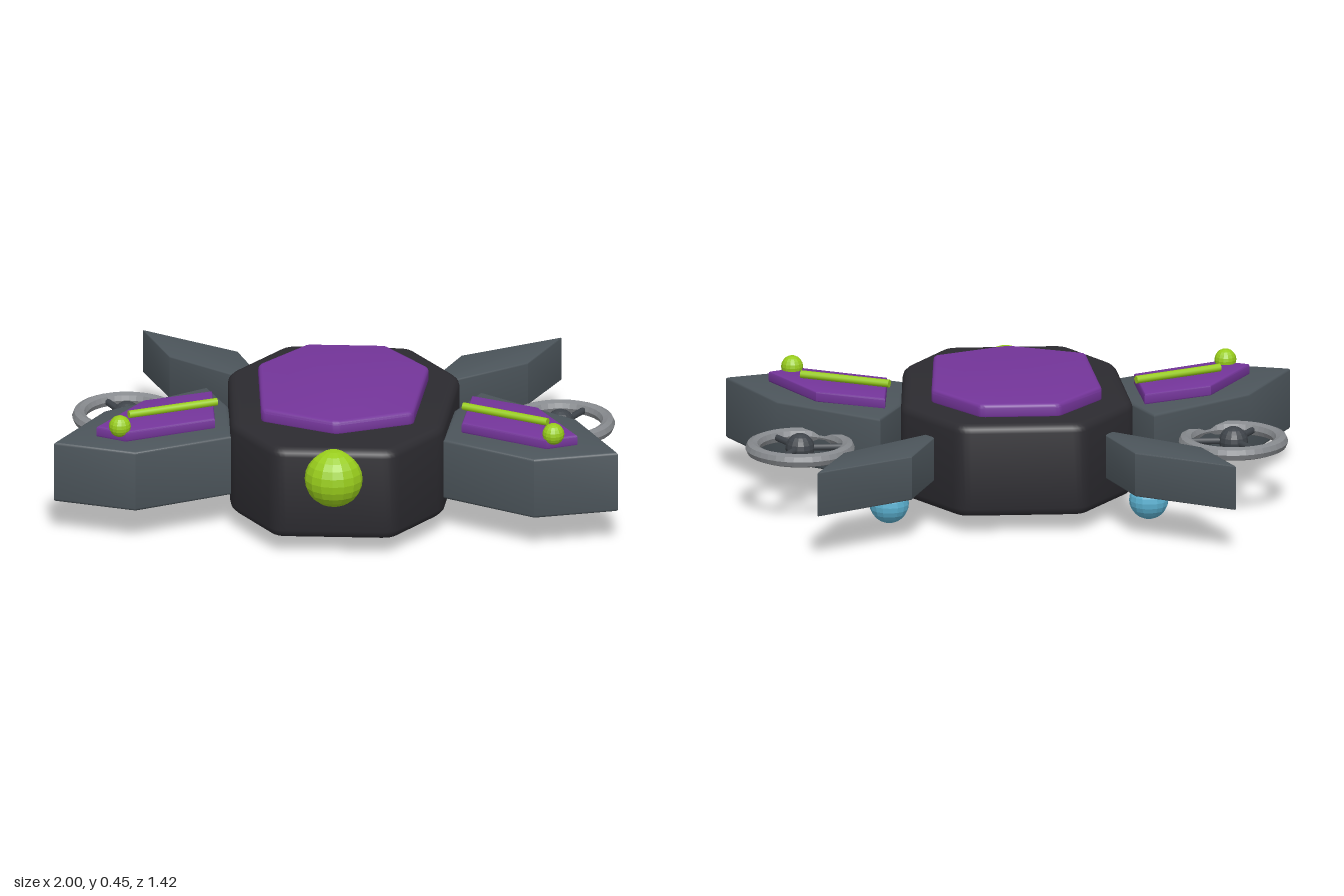
import * as THREE from 'three';
import { toCreasedNormals } from 'three/addons/utils/BufferGeometryUtils.js';

const mat = (name, color) => {
  const m = new THREE.MeshStandardMaterial({ color });
  m.name = name;
  return m;
};

// Facet a geometry so every face is flat
function faceted(geo) {
  const g = geo.toNonIndexed();
  g.computeVertexNormals();
  return g;
}

// Bevelled slab from a plan outline of [x, z] points between two heights; round softens the plan corners
function slab(points, y0, y1, bevel, round = 0) {
  const pts = points.map(([x, z]) => new THREE.Vector2(x, -z));
  const shape = new THREE.Shape();
  pts.forEach((p, i) => {
    const prev = pts[(i + pts.length - 1) % pts.length];
    const next = pts[(i + 1) % pts.length];
    const a = p.clone().add(prev.clone().sub(p).setLength(round));
    const b = p.clone().add(next.clone().sub(p).setLength(round));
    if (i === 0) shape.moveTo(a.x, a.y);
    else shape.lineTo(a.x, a.y);
    if (round > 0) shape.quadraticCurveTo(p.x, p.y, b.x, b.y);
  });
  shape.closePath();
  const geo = new THREE.ExtrudeGeometry(shape, {
    depth: y1 - y0 - 2 * bevel, bevelEnabled: true, bevelThickness: bevel,
    bevelSize: bevel, bevelOffset: -bevel, bevelSegments: 3, curveSegments: 4,
  });
  geo.rotateX(-Math.PI / 2);
  geo.translate(0, y0 + bevel, 0);
  return toCreasedNormals(geo, 0.6);
}

// Outline symmetric about x = 0, from its +x half
const mirrored = (half) => [
  ...half,
  ...half.filter(([x]) => x !== 0).reverse().map(([x, z]) => [-x, z]),
];

export function createModel() {
  const bodyMat = mat('charcoal body', 0x2c2b30);
  const wingMat = mat('slate wing', 0x4c555b);
  const purple = mat('purple panel', 0x74359a);
  const green = mat('lime light', 0x98cc1c);
  const blue = mat('blue pod', 0x5cb2d2);
  const ringMat = mat('ring grey', 0x86898d);
  const hubMat = mat('hub grey', 0x3f444a);

  const model = new THREE.Group();
  const add = (parent, name, geo, material, x = 0, y = 0, z = 0) => {
    const m = new THREE.Mesh(geo, material);
    m.name = name;
    m.position.set(x, y, z);
    parent.add(m);
    return m;
  };
  const ball = (r, w = 16, h = 12) => faceted(new THREE.SphereGeometry(r, w, h));

  // Central hull, top plate and nose light
  add(model, 'body', slab(mirrored([[0.22, -0.41], [0.413, -0.13], [0.378, 0.37], [0.21, 0.62]]),
    0.062, 0.4, 0.03, 0.04), bodyMat);
  add(model, 'topPlate', slab(mirrored([[0.14, -0.3], [0.303, -0.095], [0.27, 0.35], [0, 0.462]]),
    0.39, 0.446, 0.014, 0.018), purple);
  add(model, 'noseLight', ball(0.106), green, 0, 0.293, 0.605);

  for (const s of [1, -1]) {
    const side = new THREE.Group();
    side.name = s > 0 ? 'leftSide' : 'rightSide';
    model.add(side);
    const flip = (pts) => pts.map(([x, z]) => [s * x, z]);

    // Front wing with its inset panel, light bar and marker
    add(side, 'wing', slab(flip([[0.485, -0.115], [0.838, 0.135], [1, 0.452], [0.706, 0.535],
      [0.375, 0.358], [0.4, 0.07]]), 0.122, 0.346, 0.01), wingMat);
    add(side, 'wingPanel', slab(flip([[0.46, 0.018], [0.7, 0.12], [0.852, 0.385], [0.745, 0.433],
      [0.437, 0.285]]), 0.342, 0.384, 0.008), purple);
    const from = new THREE.Vector3(s * 0.437, 0.397, 0.158);
    const to = new THREE.Vector3(s * 0.742, 0.397, 0.297);
    const bar = add(side, 'lightBar', new THREE.CylinderGeometry(0.014, 0.014, from.distanceTo(to), 12),
      green, ...from.clone().lerp(to, 0.5).toArray());
    bar.quaternion.setFromUnitVectors(new THREE.Vector3(0, 1, 0), to.clone().sub(from).normalize());
    add(side, 'wingMarker', ball(0.039, 14, 10), green, s * 0.768, 0.395, 0.407);

    // Swept tail fin
    add(side, 'tailFin', slab(flip([[0.742, -0.713], [0.395, -0.52], [0.29, -0.25], [0.32, -0.235],
      [0.635, -0.46]]), 0.163, 0.325, 0.006), wingMat);

    // Landing pod under the hull
    add(side, 'landingPod', ball(0.07), blue, s * 0.46, 0.07, -0.235);

    // Ducted rotor: ring, hub and three spokes, one pointing inward
    const rotor = new THREE.Group();
    rotor.name = 'rotor';
    rotor.position.set(s * 0.768, 0.24, -0.094);
    side.add(rotor);
    add(rotor, 'rotorRing',
      faceted(new THREE.TorusGeometry(0.169, 0.025, 8, 36).rotateX(Math.PI / 2)), ringMat);
    add(rotor, 'rotorHub', ball(0.052, 14, 10), hubMat);
    for (let i = 0; i < 3; i++) {
      const spoke = new THREE.CylinderGeometry(0.012, 0.012, 0.16, 8);
      spoke.rotateZ(Math.PI / 2).translate(-s * 0.08, 0, 0).rotateY((i * 2 * Math.PI) / 3);
      add(rotor, 'rotorSpoke', spoke, hubMat);
    }
  }
  return model;
}
